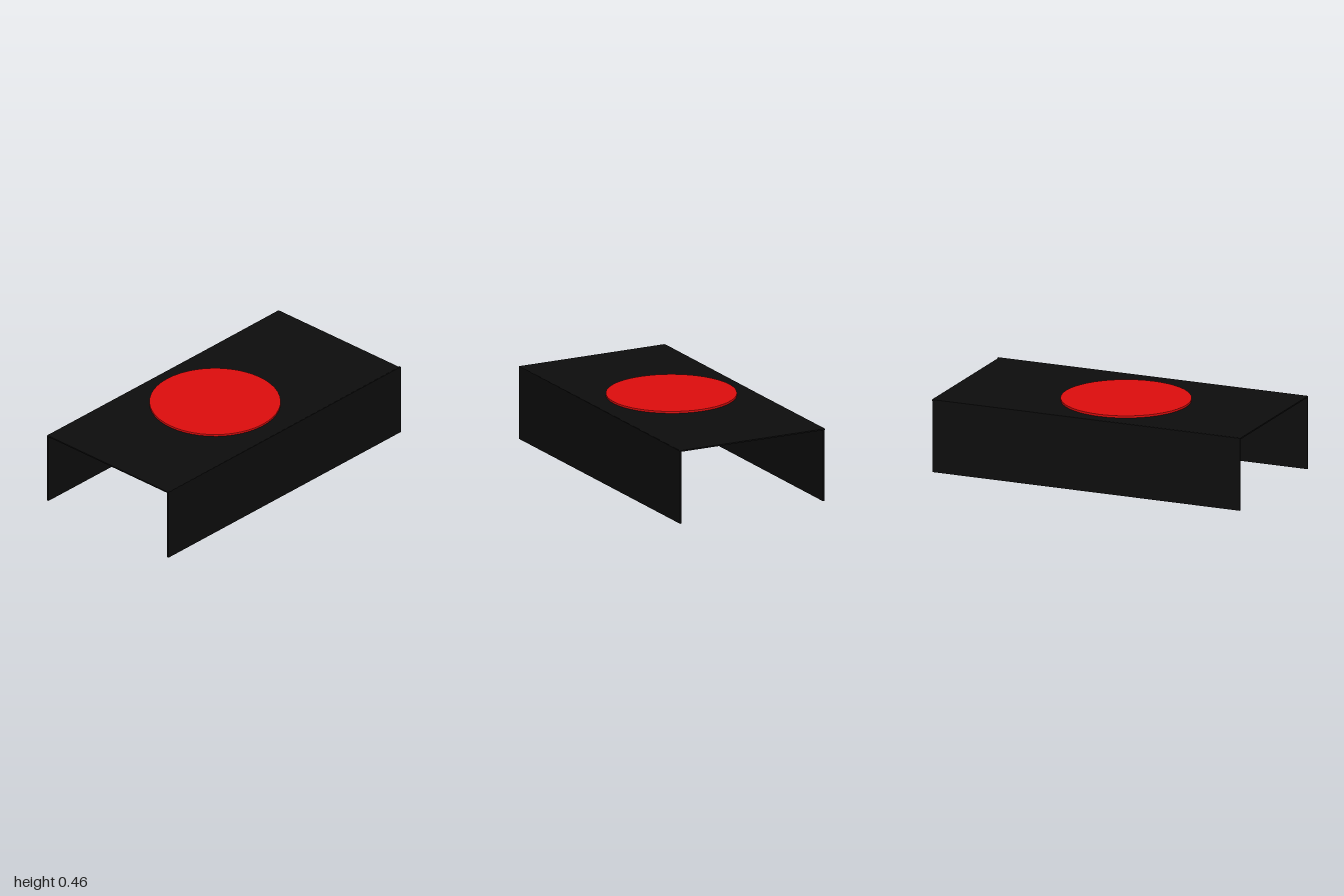
import * as THREE from 'three';

export function createModel() {
  const model = new THREE.Group();
  const black = new THREE.MeshStandardMaterial({ color: 0x0d0d0d });
  const red = new THREE.MeshStandardMaterial({ color: 0xdf0d0d });

  function add(name, geometry, material, x, y, z) {
    const mesh = new THREE.Mesh(geometry, material);
    mesh.name = name;
    mesh.position.set(x, y, z);
    model.add(mesh);
    return mesh;
  }

  // Thin table top, tilted very slightly towards the back
  const top = add('tableTop', new THREE.BoxGeometry(1.99, 0.008, 0.97), black, -0.005, 0.441, 0.001);
  top.rotation.set(-0.002, 0.002, 0);

  // Full-length side panels; both ends stay open
  add('frontPanel', new THREE.BoxGeometry(2, 0.445, 0.011), black, 0, 0.2225, 0.483);
  const back = add('backPanel', new THREE.BoxGeometry(1.985, 0.443, 0.011), black, -0.0075, 0.2215, -0.481);
  back.rotation.y = -0.002;

  // Flat round disc lying on the top, off centre
  add('disc', new THREE.CylinderGeometry(0.386, 0.386, 0.014, 48), red, -0.055, 0.45, -0.021);

  return model;
}
